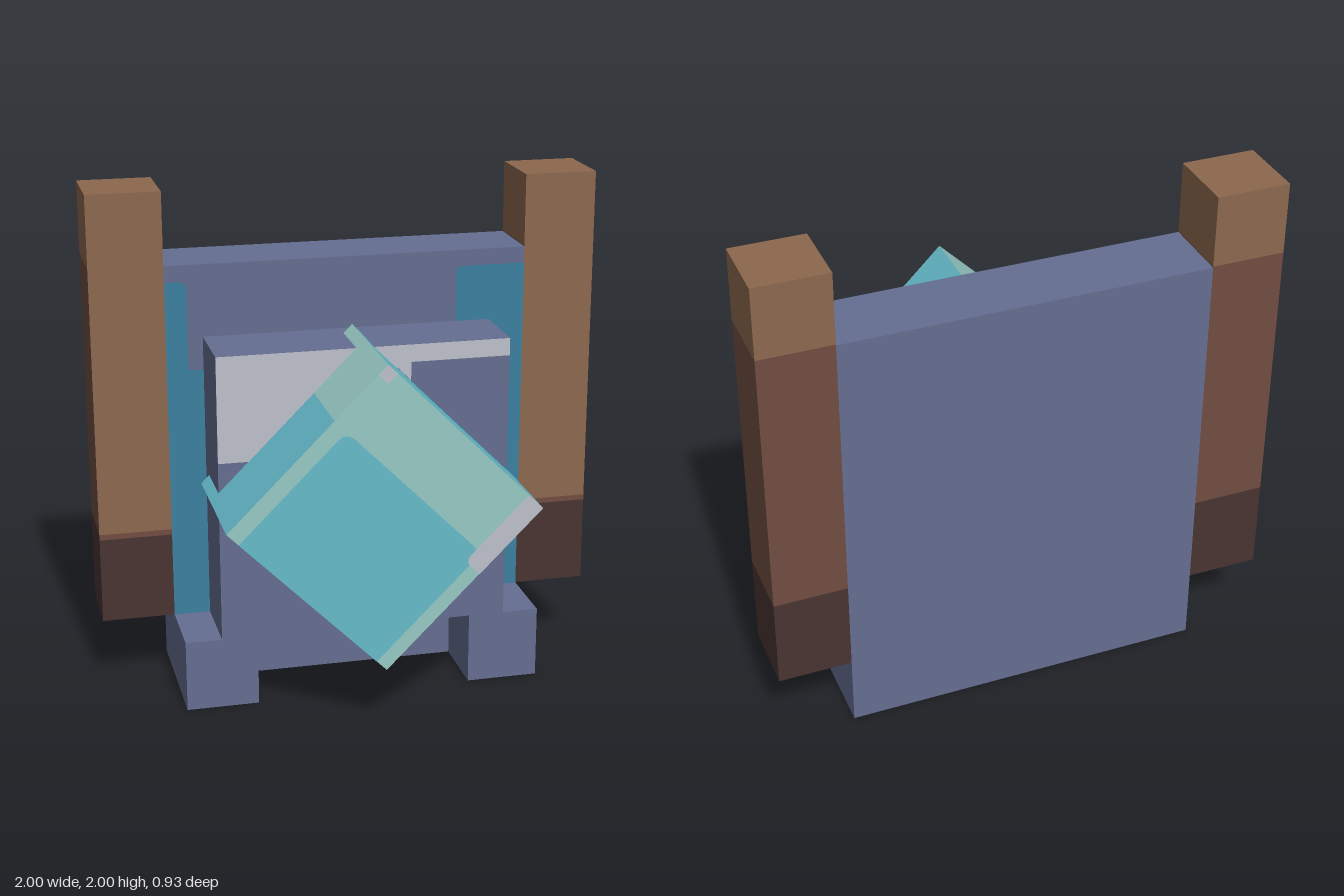
import * as THREE from 'three';

const mat = (name, color) => {
  const m = new THREE.MeshStandardMaterial({ color });
  m.name = name;
  return m;
};

export function createModel() {
  const slate = mat('slate blue', 0x656e92);
  const tan = mat('tan wood', 0x8d684e);
  const brown = mat('mid brown', 0x704d41);
  const dark = mat('dark brown', 0x493433);
  const teal = mat('teal', 0x67bbcb);
  const mint = mat('pale mint', 0x98c9c5);
  const deep = mat('deep teal', 0x3c809f);
  const grey = mat('pale grey', 0xbdc1ca);

  const model = new THREE.Group();
  model.name = 'model';

  // Box given by its minimum and maximum corners
  const box = (parent, name, a, b, material) => {
    const g = new THREE.BoxGeometry(b[0] - a[0], b[1] - a[1], b[2] - a[2]);
    g.translate((a[0] + b[0]) / 2, (a[1] + b[1]) / 2, (a[2] + b[2]) / 2);
    const m = new THREE.Mesh(g, material);
    m.name = name;
    parent.add(m);
    return m;
  };

  // Flat painted rectangle; radii run: lower left, lower right, upper right, upper left
  const paint = (parent, name, x0, y0, x1, y1, z, material, [a, b, c, d] = [0, 0, 0, 0]) => {
    const s = new THREE.Shape();
    s.moveTo(x0 + a, y0);
    s.lineTo(x1 - b, y0);
    if (b) s.quadraticCurveTo(x1, y0, x1, y0 + b);
    s.lineTo(x1, y1 - c);
    if (c) s.quadraticCurveTo(x1, y1, x1 - c, y1);
    s.lineTo(x0 + d, y1);
    if (d) s.quadraticCurveTo(x0, y1, x0, y1 - d);
    s.lineTo(x0, y0 + a);
    if (a) s.quadraticCurveTo(x0, y0, x0 + a, y0);
    const m = new THREE.Mesh(new THREE.ShapeGeometry(s, 4), material);
    m.name = name;
    m.position.z = z + 0.003;
    parent.add(m);
    return m;
  };

  const back = -0.464, mid = -0.18, front = 0.107;

  // Back panel, front slab and feet
  box(model, 'backPanel', [-0.714, 0, back], [0.714, 1.714, mid], slate);
  box(model, 'frontSlab', [-0.571, 0.286, mid], [0.571, 1.429, front], slate);
  for (const s of [-1, 1]) {
    const xs = [0.429 * s, 0.714 * s].sort((p, q) => p - q);
    box(model, 'foot', [xs[0], 0, mid], [xs[1], 0.286, front], slate);
  }

  // Painted areas on the panel and slab
  paint(model, 'panelPaintLeft', 0.571, 0.286, 0.714, 1.65, mid, deep);
  paint(model, 'panelPaintLeftTop', 0.436, 1.36, 0.571, 1.65, mid, deep, [0, 0, 0, 0.03]);
  paint(model, 'panelPaintRight', -0.714, 0.286, -0.571, 1.3, mid, deep);
  paint(model, 'panelPaintRightTop', -0.714, 1.3, -0.63, 1.65, mid, deep, [0, 0, 0.03, 0]);
  paint(model, 'panelPaintLow', -0.429, 0.222, -0.286, 0.286, mid, deep, [0, 0.03, 0, 0]);
  paint(model, 'slabPaint', -0.571, 1.01, 0.18, 1.429, front, grey);
  paint(model, 'slabPaintBand', 0.18, 1.36, 0.571, 1.429, front, grey);

  // Side posts: tan top, brown middle with a tan front, dark base
  for (const s of [-1, 1]) {
    const post = new THREE.Group();
    post.name = s > 0 ? 'leftPost' : 'rightPost';
    model.add(post);
    const [x0, x1] = s > 0 ? [0.714, 1] : [-1, -0.714];
    box(post, 'postTop', [x0, 1.718, back], [x1, 2, mid], tan);
    box(post, 'postMiddle', [x0, 0.65, back], [x1, 1.718, mid], [brown, brown, brown, brown, tan, brown]);
    box(post, 'postBase', [x0, 0.286, back], [x1, 0.65, mid], dark);
    paint(post, 'postEdge', x0, 0.63, x1, 0.652, mid, brown);
  }

  // Diamond block, built upright and turned 45 degrees
  const block = new THREE.Group();
  block.name = 'diamondBlock';
  block.position.set(0, 0.86, 0);
  block.rotation.z = Math.PI / 4;
  model.add(block);
  const h = 0.4265, split = 0.145, rear = -0.107, face = 0.461;
  box(block, 'blockLower', [-h, -h, rear], [split, h, face], [teal, teal, teal, teal, mint, teal]);
  box(block, 'blockUpper', [split, -h, rear], [h, h, face], [teal, mint, mint, mint, mint, mint]);
  paint(block, 'blockFacePatch', -h, -0.37, split, 0.365, face, teal, [0, 0.045, 0.045, 0]);
  paint(block, 'blockFaceEdge', 0.08, -h, h, -0.345, face, grey, [0, 0, 0, 0.03]);
  paint(block, 'blockFaceTip', 0.375, 0.375, h, h, face, grey);

  // Deep teal area on the upper left side of the block
  const side = new THREE.Group();
  side.name = 'blockSidePaint';
  side.rotation.y = Math.PI / 2;
  block.add(side);
  paint(side, 'sidePatch', -0.175, -h, 0.107, 0.271, h, deep, [0, 0, 0, 0.045]);

  return model;
}
